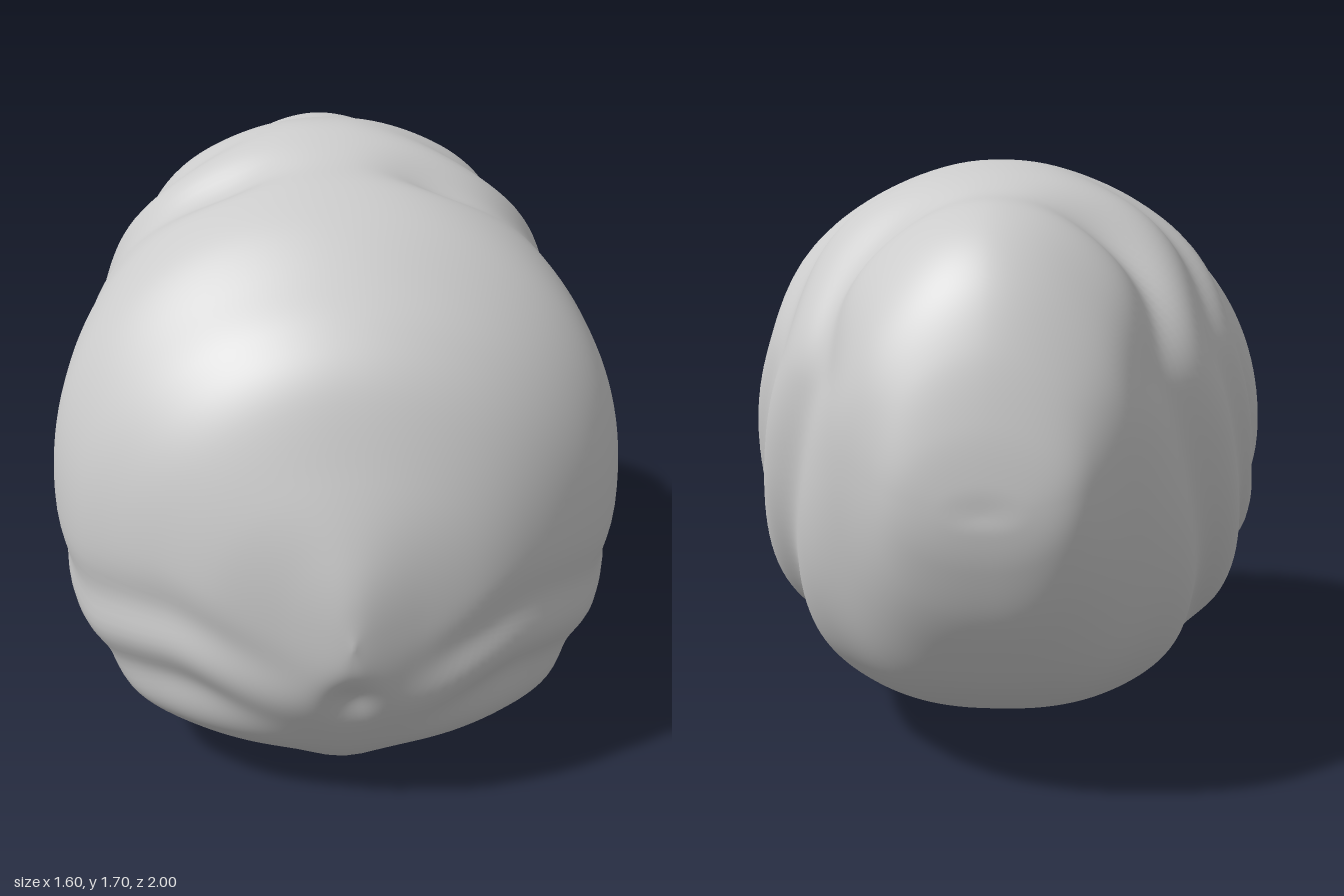
import * as THREE from 'three';
import { mergeVertices } from 'three/addons/utils/BufferGeometryUtils.js';

// Sections from front to back: z, half width, top y, bottom y
const SECTIONS = [
  [1.0, 0, 0.6, 0.6], [0.985, 0.06, 0.74, 0.5], [0.95, 0.17, 0.87, 0.41], [0.89, 0.36, 1.03, 0.3],
  [0.8, 0.51, 1.24, 0.17], [0.7, 0.63, 1.36, 0.08], [0.58, 0.73, 1.45, 0.01], [0.42, 0.795, 1.56, 0.01],
  [0.26, 0.79, 1.62, 0.04], [0.1, 0.76, 1.65, 0.05], [-0.08, 0.73, 1.705, 0.06], [-0.25, 0.68, 1.69, 0.1],
  [-0.42, 0.62, 1.64, 0.16], [-0.6, 0.53, 1.625, 0.24], [-0.74, 0.43, 1.57, 0.34], [-0.85, 0.36, 1.46, 0.47],
  [-0.93, 0.29, 1.3, 0.6], [-0.98, 0.22, 1.12, 0.74], [-1.0, 0.12, 0.98, 0.84], [-1.0, 0, 0.9, 0.9],
];

const bell = (v, centre, width) => Math.exp(-(((v - centre) / width) ** 2));
const smooth = THREE.MathUtils.smoothstep;

// Soft folds that sweep from the lower front up to the upper back
function foldHeight(x, y, z) {
  const ax = Math.abs(x);
  const d = Math.hypot(z - 1.0, y - 1.6) + 0.25 * smooth(y, 1.15, 1.6)
    + 0.14 * smooth(z, 0.45, 0.85) * smooth(ax, 0.05, 0.5);
  const folds = -0.014 * bell(d, 1.14, 0.07) + 0.006 * bell(d, 1.25, 0.06)
    - 0.018 * bell(d, 1.37, 0.07) + 0.018 * bell(d, 1.54, 0.09)
    - 0.034 * bell(d, 1.7, 0.08) + 0.012 * bell(d, 1.88, 0.1);
  const side = smooth(y, 0.12, 0.4) * smooth(ax, 0.05, 0.45);
  const pit = -0.02 * bell(x, 0, 0.06) * bell(y, 0.4, 0.07) * smooth(z, 0.6, 0.8);
  // Paired hollows on the crown
  const hollows = -0.025 * smooth(y, 1.2, 1.5) * bell(ax, 0.3, 0.14)
    * (bell(z, 0.12, 0.09) + 0.6 * bell(z, -0.45, 0.2));
  return folds * side + pit + hollows;
}

function bodyGeometry(rings = 150, sides = 160) {
  const widths = new THREE.CatmullRomCurve3(
    SECTIONS.map(([z, w]) => new THREE.Vector3(z, w, 0)), false, 'catmullrom', 0.5);
  const heights = new THREE.CatmullRomCurve3(
    SECTIONS.map(([z, , t, b]) => new THREE.Vector3(z, t, b)), false, 'catmullrom', 0.5);
  const positions = [];
  const indices = [];
  const superPower = (v, n) => Math.sign(v) * Math.abs(v) ** (2 / n);

  for (let i = 0; i <= rings; i++) {
    const { x: z, y: w } = widths.getPoint(i / rings);
    const { y: top, z: bottom } = heights.getPoint(i / rings);
    const cy = (top + bottom) / 2;
    const h = (top - bottom) / 2;
    // Boxier underside, rounder crown that narrows towards the back
    const back = smooth(-z, 0.2, 0.7);
    for (let j = 0; j < sides; j++) {
      const a = (j / sides) * Math.PI * 2;
      const up = Math.sin(a);
      const n = 2.2 - up * (up > 0 ? 0.1 + 0.2 * back : 0.28);
      const x = Math.max(w, 0) * superPower(Math.cos(a), n);
      const y = cy + h * superPower(up, n);
      const s = 1 + foldHeight(x, y, z) / 0.75;
      // Low keel under the front
      const keel = 0.04 * bell(z, 0.55, 0.25) * (1 - bell(x, 0, 0.12)) * smooth(-y, -0.3, -0.08);
      positions.push(x * s, cy + (y - cy) * s + keel, z * (1 + (s - 1) * Math.abs(z)));
    }
  }
  for (let i = 0; i < rings; i++) {
    for (let j = 0; j < sides; j++) {
      const k = (j + 1) % sides;
      const a = i * sides + j, b = i * sides + k;
      const c = a + sides, d = b + sides;
      indices.push(a, c, b, b, c, d);
    }
  }
  let geometry = new THREE.BufferGeometry();
  geometry.setAttribute('position', new THREE.Float32BufferAttribute(positions, 3));
  geometry.setIndex(indices);
  geometry = mergeVertices(geometry, 1e-5);
  geometry.computeVertexNormals();
  return geometry;
}

export function createModel() {
  const group = new THREE.Group();
  group.name = 'foldedStone';
  const body = new THREE.Mesh(bodyGeometry(), new THREE.MeshStandardMaterial({ color: 0xcccccc }));
  body.name = 'foldedBody';
  group.add(body);
  return group;
}
